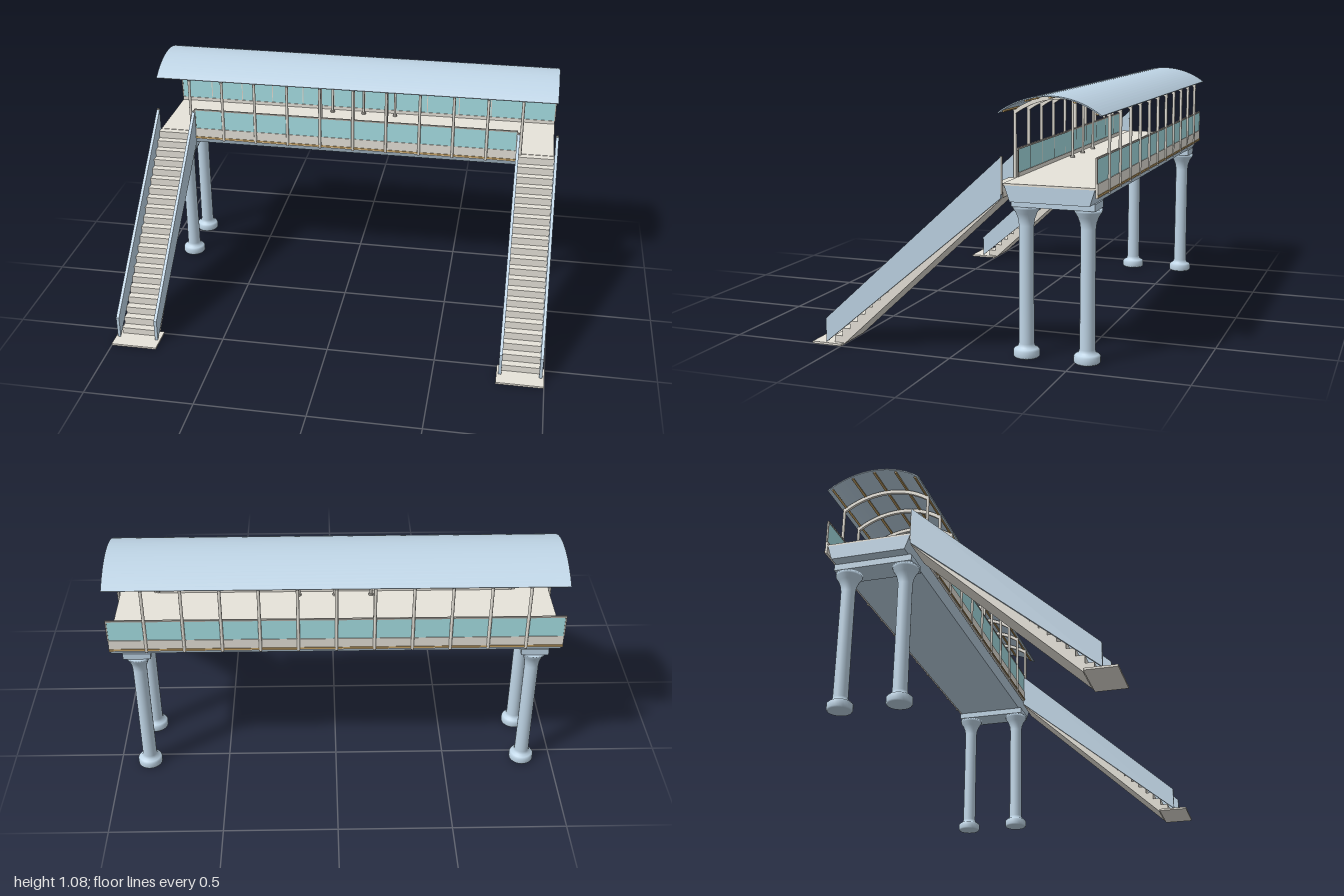
import * as THREE from 'three';

const mat = (name, color) => {
  const m = new THREE.MeshStandardMaterial({ color });
  m.name = name;
  return m;
};

export function createModel() {
  const steel = mat('blue grey steel', 0xbfd5e6);
  const cream = mat('cream concrete', 0xf0ece2);
  const glass = mat('teal glass', 0xa9e3e8);
  const metal = mat('grey metal', 0xb4b0a8);
  const gold = mat('gold trim', 0xc8a568);

  const root = new THREE.Group();
  root.name = 'footbridge';
  const add = (name, geo, m, parent = root) => {
    const mesh = new THREE.Mesh(geo, m);
    mesh.name = name;
    parent.add(mesh);
    return mesh;
  };
  // Box given by its limits on each axis
  const box = (name, m, x0, x1, y0, y1, z0, z1, parent) =>
    add(name, new THREE.BoxGeometry(x1 - x0, y1 - y0, z1 - z0)
      .translate((x0 + x1) / 2, (y0 + y1) / 2, (z0 + z1) / 2), m, parent);
  // Outline in (z, y), swept between two x positions
  const sweep = (name, m, points, x0, x1, parent) => {
    const shape = new THREE.Shape(points.map(([z, y]) => new THREE.Vector2(z, y)));
    const geo = new THREE.ExtrudeGeometry(shape, { depth: x1 - x0, bevelEnabled: false });
    return add(name, geo.rotateY(-Math.PI / 2).translate(x1, 0, 0), m, parent);
  };
  const rod = (name, m, x, y0, y1, z, r, parent) => {
    const mesh = add(name, new THREE.CylinderGeometry(r, r, y1 - y0, 8), m, parent);
    mesh.position.set(x, (y0 + y1) / 2, z);
  };

  const midZ = -0.418, frontZ = -0.224, backZ = -0.612, halfL = 0.975;

  // Deck: tapered girder with a thin walking surface
  sweep('deckGirder', steel, [[-0.255, 0.66], [-0.232, 0.725], [-0.605, 0.725], [-0.585, 0.66]], -halfL, halfL);
  box('deckFloor', cream, -halfL, halfL, 0.725, 0.733, -0.608, -0.226);

  // Parapets: fascia, trim, glass and top rail; the front stops at the stairs
  const parapet = (name, z, half, out) => {
    const g = new THREE.Group();
    g.name = name;
    root.add(g);
    box('fascia', cream, -half, half, 0.693, 0.75, z - 0.005, z + 0.005, g);
    const zo = z + out * 0.006;
    box('trimLine', gold, -half, half, 0.698, 0.706, zo - 0.002, zo + 0.002, g);
    box('glassPanel', glass, -half, half, 0.75, 0.846, z - 0.002, z + 0.002, g);
    box('topRail', metal, -half, half, 0.845, 0.852, z - 0.004, z + 0.004, g);
    for (const s of [-1, 1]) box('endPost', metal, s * half - 0.003, s * half + 0.003, 0.75, 0.852, z - 0.004, z + 0.004, g);
  };
  parapet('frontParapet', frontZ, 0.795, 1);
  parapet('backParapet', backZ, halfL, -1);

  // Curved roof
  const arcBand = (rOut, rIn, half, n) => {
    const pts = [];
    const at = (r, a) => [midZ + r * Math.sin(a), 0.727 + r * Math.cos(a)];
    for (let i = 0; i <= n; i++) pts.push(at(rOut, -half + 2 * half * i / n));
    for (let i = n; i >= 0; i--) pts.push(at(rIn, -half + 2 * half * i / n));
    return pts;
  };
  sweep('roofSkin', steel, arcBand(0.356, 0.351, 0.638, 28), -halfL, halfL);
  for (let i = -2; i <= 2; i++) {
    const a = i * 0.29;
    const purlin = add('roofPurlin', new THREE.BoxGeometry(2 * halfL - 0.02, 0.006, 0.01), gold);
    purlin.position.set(0, 0.727 + 0.347 * Math.cos(a), midZ + 0.347 * Math.sin(a));
    purlin.rotation.x = a;
  }

  // Roof frames: an arched rib on two posts, with inner posts at the middle
  for (let i = -5; i <= 5; i++) {
    const x = i * 0.163;
    const frame = new THREE.Group();
    frame.name = 'roofFrame';
    root.add(frame);
    sweep('archRib', cream, arcBand(0.346, 0.33, 0.635, 20), x - 0.006, x + 0.006, frame);
    for (const z of [frontZ, backZ]) rod('post', cream, x, 0.69, 1.012, z + Math.sign(z - midZ) * 0.004, 0.007, frame);
    if (Math.abs(i) < 2) for (const z of [-0.258, -0.575]) {
      rod('innerPost', cream, x, 0.733, 1.03, z, 0.006, frame);
      rod('postFoot', metal, x, 0.733, 0.742, z, 0.011, frame);
    }
  }

  // Piers: lathe-turned columns under a cap beam
  const pierProfile = [
    [0, 0], [0.05, 0], [0.055, 0.006], [0.055, 0.03], [0.048, 0.038], [0.036, 0.044], [0.032, 0.058],
    [0.031, 0.3], [0.031, 0.55], [0.034, 0.575], [0.043, 0.6], [0.056, 0.62], [0.058, 0.632], [0, 0.632],
  ].map(([r, y]) => new THREE.Vector2(r, y));
  for (const s of [-1, 1]) {
    box('capBeam', steel, s * 0.865 - 0.06, s * 0.865 + 0.06, 0.632, 0.661, -0.592, -0.242);
    for (const z of [-0.287, -0.547]) {
      add('pier', new THREE.LatheGeometry(pierProfile, 28), steel).position.set(s * 0.865, 0, z);
    }
  }

  // Stairs: stepped flight, two solid side panels and a foot plate
  const steps = 21, z0 = 0.54, z1 = -0.228, top = 0.731;
  const flight = [[z0, 0.004]];
  for (let i = 0; i < steps; i++) {
    const z = z0 + (z1 - z0) * i / steps, zn = z0 + (z1 - z0) * (i + 1) / steps;
    const y = 0.004 + (top - 0.004) * (i + 1) / steps;
    flight.push([z, y], [zn, y]);
  }
  flight.push([z1, 0.676], [0.495, 0.004]);
  const panel = [[0.573, 0.01], [0.573, 0.113], [-0.224, 0.84], [-0.224, 0.675]];
  for (const s of [-1, 1]) {
    const stair = new THREE.Group();
    stair.name = s > 0 ? 'leftStair' : 'rightStair';
    root.add(stair);
    const c = s * 0.893;
    sweep('stepFlight', cream, flight, c - 0.085, c + 0.085, stair);
    for (const e of [-1, 1]) {
      const x = c + e * 0.091;
      sweep('sidePanel', steel, panel, x - 0.007, x + 0.007, stair);
      rod('topNewel', metal, x, 0.69, 0.842, -0.224, 0.006, stair);
    }
    box('footPlate', cream, c - 0.107, c + 0.107, 0, 0.009, 0.5, 0.635, stair);
  }
  return root;
}
